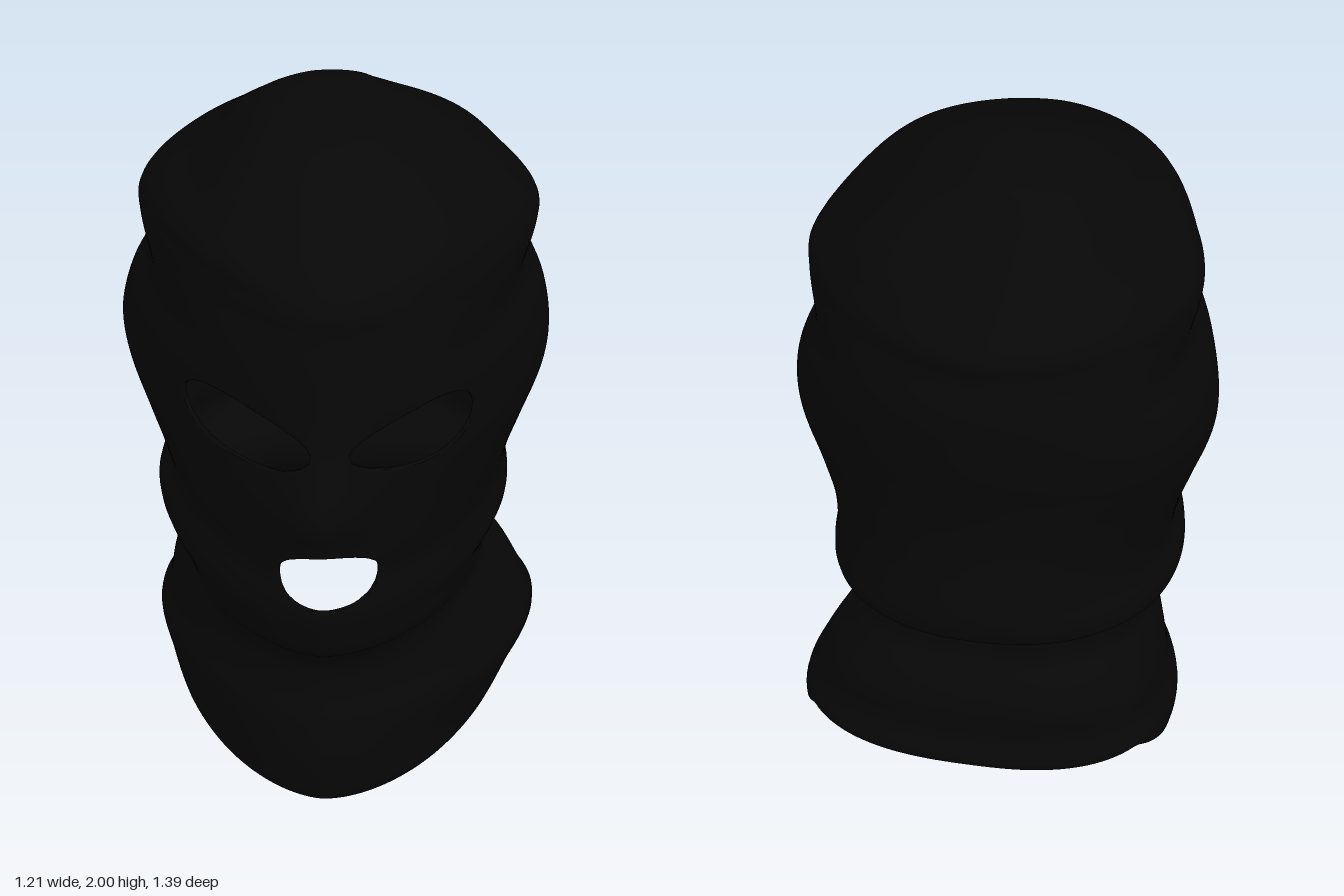
import * as THREE from 'three';

// Cross-sections: height, front z, back z, right half-width (-x), left half-width (+x)
const SECTIONS = [
  [0.00, 0.44, -0.66, 0.47, 0.48], [0.13, 0.455, -0.66, 0.47, 0.49],
  [0.25, 0.44, -0.655, 0.50, 0.545], [0.32, 0.415, -0.62, 0.475, 0.52],
  [0.41, 0.41, -0.62, 0.46, 0.47], [0.48, 0.465, -0.59, 0.435, 0.42],
  [0.54, 0.55, -0.53, 0.42, 0.415], [0.62, 0.59, -0.54, 0.45, 0.435],
  [0.68, 0.61, -0.65, 0.495, 0.475], [0.73, 0.605, -0.675, 0.50, 0.48],
  [0.80, 0.585, -0.67, 0.475, 0.475], [0.90, 0.61, -0.65, 0.495, 0.495],
  [1.02, 0.605, -0.64, 0.54, 0.54], [1.15, 0.605, -0.655, 0.59, 0.59],
  [1.25, 0.605, -0.675, 0.605, 0.60], [1.35, 0.605, -0.685, 0.585, 0.585],
  [1.47, 0.598, -0.69, 0.53, 0.54], [1.60, 0.585, -0.665, 0.555, 0.57],
  [1.67, 0.585, -0.67, 0.555, 0.57], [1.73, 0.53, -0.60, 0.50, 0.515],
  [1.80, 0.405, -0.50, 0.39, 0.43], [1.90, 0.24, -0.36, 0.285, 0.29],
  [1.96, 0.13, -0.29, 0.21, 0.17], [1.985, 0.03, -0.26, 0.13, 0.11],
  [2.00, -0.185, -0.205, 0.01, 0.01],
];
// Outline: height, roundness of front, roundness of back, how far back the
// widest point lies, and how much flatter the front right and back left corners are
const OUTLINES = [
  [0.00, 1.75, 2.6, 0.63, 0.05], [0.50, 1.75, 2.5, 0.62, 0.05], [0.80, 1.75, 2.1, 0.60, 0.08],
  [1.00, 1.80, 2.1, 0.60, 0.15], [1.25, 1.85, 2.1, 0.60, 0.23], [1.47, 2.05, 2.15, 0.60, 0.15],
  [1.67, 1.75, 1.85, 0.57, 0.18], [1.73, 2.00, 2.05, 0.55, 0.12], [1.80, 2.50, 2.5, 0.52, 0],
  [1.90, 2.80, 2.8, 0.5, 0], [2.00, 2.6, 2.6, 0.5, 0],
];
const AROUND = 160, RINGS = 120, THICKNESS = 0.012;
const { clamp, lerp } = THREE.MathUtils;

// Smooth interpolation of one column of a table over height
function sample(table, column, y) {
  const last = table.length - 1;
  let i = 0;
  while (i < last - 1 && y > table[i + 1][0]) i++;
  const slope = (k) => {
    const a = table[Math.max(k - 1, 0)], b = table[Math.min(k + 1, last)];
    return (b[column] - a[column]) / (b[0] - a[0]);
  };
  const [from, to] = [table[i], table[i + 1]];
  const h = to[0] - from[0], t = clamp((y - from[0]) / h, 0, 1), t2 = t * t, t3 = t2 * t;
  return from[column] * (2 * t3 - 3 * t2 + 1) + to[column] * (3 * t2 - 2 * t3)
    + h * (slope(i) * (t3 - 2 * t2 + t) + slope(i + 1) * (t3 - t2));
}

// Point on the cloth for an angle (0 = front, positive towards +x) and a height
function clothPoint(angle, y) {
  const front = sample(SECTIONS, 1, y), back = sample(SECTIONS, 2, y);
  const s = Math.sin(angle), c = Math.cos(angle);
  const middle = lerp(front, back, sample(OUTLINES, 3, y));
  const flatter = s * c < 0 ? sample(OUTLINES, 4, y) : 0;
  const power = 2 / (sample(OUTLINES, c > 0 ? 1 : 2, y) - flatter);
  const x = Math.sign(s) * Math.abs(s) ** power * sample(SECTIONS, s < 0 ? 3 : 4, y);
  let z = middle + Math.sign(c) * Math.abs(c) ** power * (c > 0 ? front - middle : middle - back);
  // nose and lips
  const rise = (y - 1.04) / (y > 1.04 ? 0.17 : 0.1);
  if (c > 0) {
    z += 0.09 * Math.exp(-rise * rise - (x / 0.15) ** 2);
    z += 0.025 * Math.exp(-(((y - 0.82) / 0.09) ** 2) - (x / 0.24) ** 2);
  }
  return new THREE.Vector3(x, y, z);
}

// Outward direction of the cloth
function clothNormal(angle, y) {
  const e = 0.03, low = Math.max(y - e, 0), high = Math.min(y + e, 1.998);
  const along = clothPoint(angle + e, y).sub(clothPoint(angle - e, y));
  const up = clothPoint(angle, high).sub(clothPoint(angle, low));
  return along.cross(up).normalize();
}

// Slanted lower hem: low at the front, high at the back
function hemHeight(angle) {
  const heights = [0.25, 0.265, 0.2, 0.09, 0];
  const t = (Math.cos(angle) + 1) * 2, i = Math.min(Math.floor(t), 3);
  return lerp(heights[i], heights[i + 1], t - i);
}

// Openings in (angle, height); inside where the value is below 1
const eyeOpening = (side, centre, half) => ({
  angle: centre * side, y: 1.25,
  value(a, y) {
    const u = (a * side - centre) / half;
    const v = (y - 1.25 - 0.015 * u) / (0.117 * clamp(0.8 + 0.3 * u, 0.2, 1.1));
    return u * u + v * v;
  },
});
const mouthOpening = {
  angle: 0.04, y: 0.815,
  value: (a, y) => Math.abs((a - 0.04) / 0.37) ** 2.3 + Math.abs((y - 0.815) / 0.095) ** 2.3,
};
const OPENINGS = [eyeOpening(1, 0.487, 0.325), eyeOpening(-1, 0.44, 0.365), mouthOpening];

// Push a point inside an opening out to its edge
function snapToEdge(hole, a, y) {
  let low = 1, high = 12;
  for (let k = 0; k < 30; k++) {
    const m = (low + high) / 2;
    if (hole.value(hole.angle + (a - hole.angle) * m, hole.y + (y - hole.y) * m) < 1) low = m;
    else high = m;
  }
  return [hole.angle + (a - hole.angle) * high, hole.y + (y - hole.y) * high];
}

function createClothGeometry() {
  const outer = [], inner = [], inside = [], faces = [];
  const addPoint = (point, normal) => {
    outer.push(point);
    inner.push(point.clone().addScaledVector(normal, -THICKNESS));
  };
  for (let i = 0; i <= RINGS; i++) {
    const h = 2 * (1 - (1 - i / RINGS) ** 1.3);
    for (let j = 0; j < AROUND; j++) {
      let a = ((j / AROUND) * 2 - 1) * Math.PI;
      let y = h < 0.55 ? lerp(hemHeight(a), 0.55, h / 0.55) : h;
      const hole = OPENINGS.find((o) => o.value(a, y) < 1);
      inside.push(!!hole);
      if (hole) [a, y] = snapToEdge(hole, a + 1e-5, y + 1e-5);
      addPoint(clothPoint(a, y), i === RINGS ? new THREE.Vector3(0, 1, 0) : clothNormal(a, y));
    }
  }
  // outer cloth, leaving out cells that lie within an opening
  for (let i = 0; i < RINGS; i++) {
    for (let j = 0; j < AROUND; j++) {
      const k = (j + 1) % AROUND;
      const a = i * AROUND + j, b = i * AROUND + k, c = b + AROUND, d = a + AROUND;
      if ([a, b, c, d].every((n) => inside[n])) continue;
      faces.push([a, b, c], [a, c, d]);
    }
  }
  // crown
  const crown = outer.length;
  addPoint(new THREE.Vector3(0, 2, -0.195), new THREE.Vector3(0, 1, 0));
  for (let j = 0; j < AROUND; j++) {
    faces.push([RINGS * AROUND + j, RINGS * AROUND + ((j + 1) % AROUND), crown]);
  }

  // inner cloth and the rims joining both layers
  const count = outer.length, edges = new Set(), indices = [];
  const sides = ([a, b, c]) => [[a, b], [b, c], [c, a]];
  faces.forEach((f) => sides(f).forEach(([a, b]) => edges.add(a * count + b)));
  faces.forEach((f) => {
    const [a, b, c] = f;
    indices.push(a, b, c, a + count, c + count, b + count);
    sides(f).forEach(([p, q]) => {
      if (!edges.has(q * count + p)) indices.push(q, p, p + count, q, p + count, q + count);
    });
  });
  const geometry = new THREE.BufferGeometry().setFromPoints([...outer, ...inner]);
  geometry.setIndex(indices);
  geometry.computeVertexNormals();
  return geometry;
}

export function createModel() {
  const group = new THREE.Group();
  group.name = 'balaclava';
  const blackKnit = new THREE.MeshStandardMaterial({ color: 0x070707, side: THREE.DoubleSide });
  blackKnit.name = 'black knit';
  const cloth = new THREE.Mesh(createClothGeometry(), blackKnit);
  cloth.name = 'knittedHood';
  group.add(cloth);
  return group;
}
